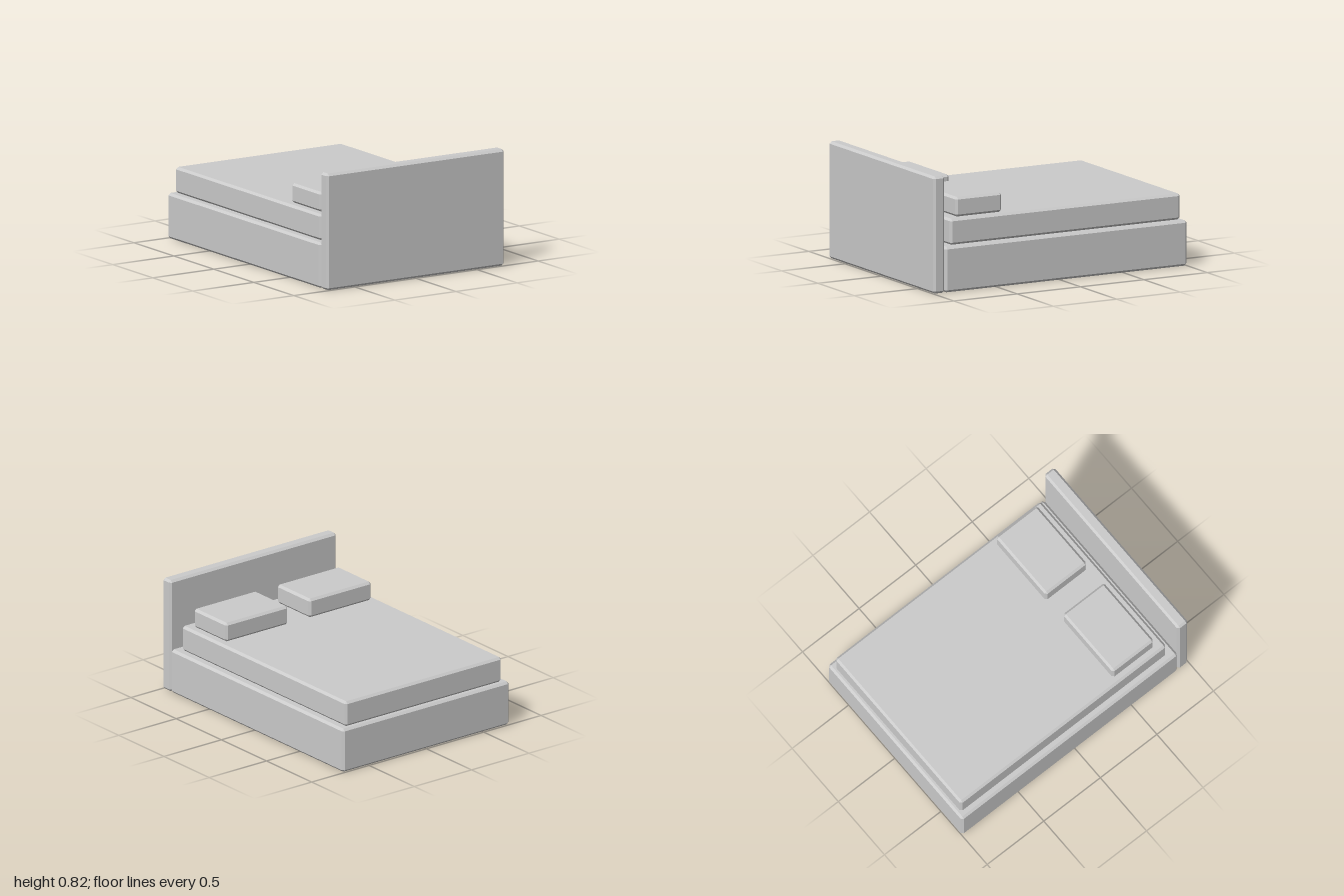
import * as THREE from 'three';
import { ConvexGeometry } from 'three/addons/geometries/ConvexGeometry.js';

const CHAMFER = 0.016;
const material = new THREE.MeshStandardMaterial({ color: 0xcccccc, flatShading: true });

// Box with every edge cut at 45 degrees, given by its [min, max] extents
function chamferedBox(name, [x0, x1], [y0, y1], [z0, z1]) {
  const half = [(x1 - x0) / 2, (y1 - y0) / 2, (z1 - z0) / 2];
  const points = [];
  for (const sx of [-1, 1]) for (const sy of [-1, 1]) for (const sz of [-1, 1]) {
    // Three points per corner, each touching one of the outer faces
    for (let face = 0; face < 3; face++) {
      const [x, y, z] = half.map((h, axis) => (axis === face ? h : h - CHAMFER));
      points.push(new THREE.Vector3(sx * x, sy * y, sz * z));
    }
  }
  const mesh = new THREE.Mesh(new ConvexGeometry(points), material);
  mesh.name = name;
  mesh.position.set((x0 + x1) / 2, (y0 + y1) / 2, (z0 + z1) / 2);
  return mesh;
}

export function createModel() {
  const bed = new THREE.Group();
  bed.name = 'bed';

  bed.add(
    chamferedBox('base', [-0.727, 0.727], [0, 0.318], [-1, 0.909]),
    chamferedBox('headboard', [-0.727, 0.727], [0, 0.818], [0.911, 1]),
    chamferedBox('mattress', [-0.682, 0.682], [0.318, 0.5], [-0.973, 0.845])
  );

  // Pair of pillows beside the headboard
  bed.add(
    chamferedBox('leftPillow', [0.091, 0.635], [0.5, 0.637], [0.409, 0.773]),
    chamferedBox('rightPillow', [-0.635, -0.091], [0.5, 0.637], [0.409, 0.773])
  );

  return bed;
}
